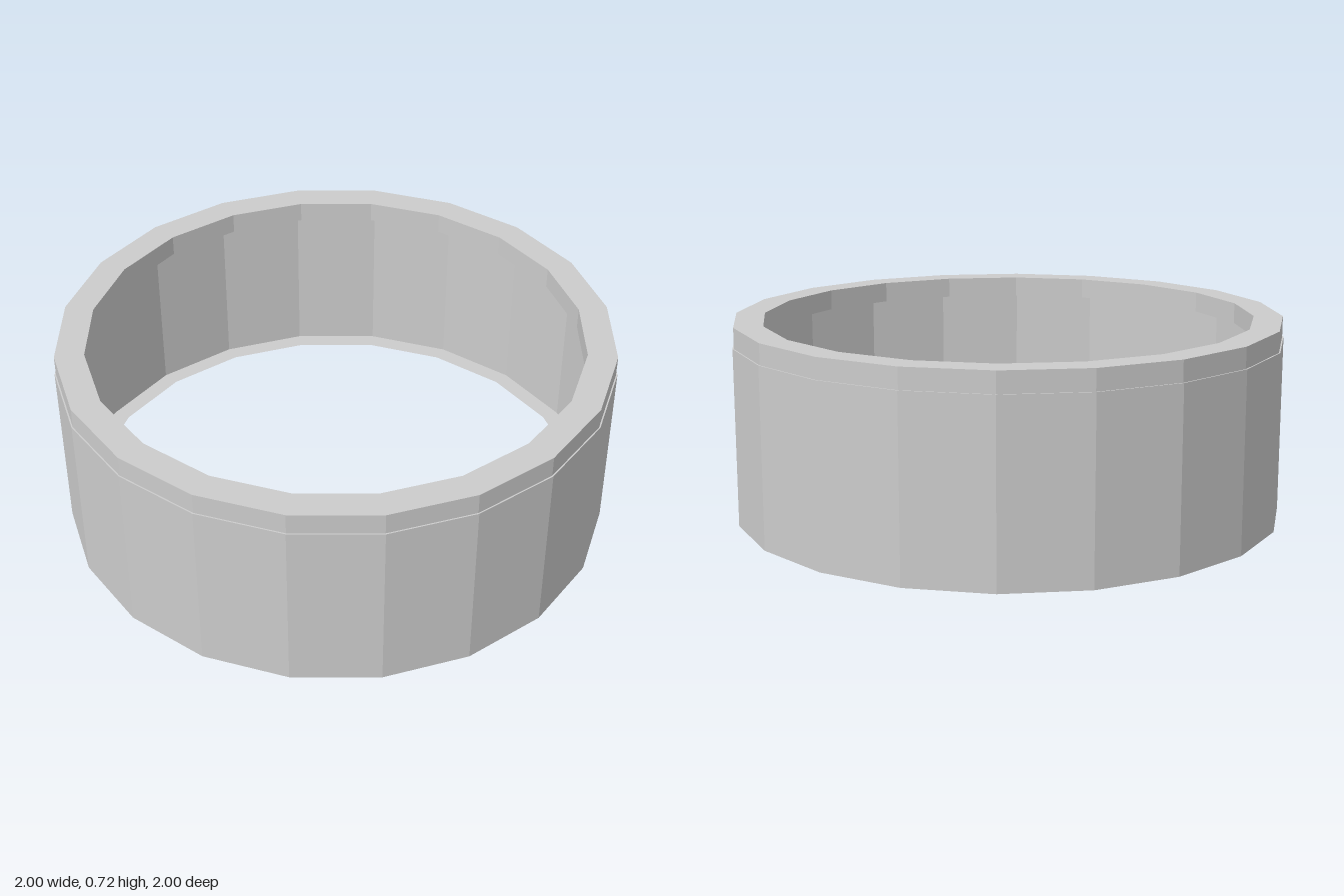
import * as THREE from 'three';

const SIDES = 20;

// Revolves a [radius, height] profile into a faceted ring
function ring(name, profile, material) {
  const points = profile.map(([r, y]) => new THREE.Vector2(r, y));
  const mesh = new THREE.Mesh(new THREE.LatheGeometry(points, SIDES), material);
  mesh.name = name;
  return mesh;
}

export function createModel() {
  const group = new THREE.Group();
  group.name = 'ring';
  const solid = new THREE.MeshStandardMaterial({ color: 0xcccccc, flatShading: true });
  const sheet = new THREE.MeshStandardMaterial({ color: 0xcccccc, flatShading: true, side: THREE.DoubleSide });

  // Thin outer wall with a flat inward flange at its foot and a small step at its top
  group.add(ring('wall', [[0.935, 0], [1, 0], [1, 0.645], [0.995, 0.645]], sheet));

  // Thick rim: underside, outer face, top and inner face
  group.add(ring('rim', [[0.89, 0.645], [0.995, 0.645], [0.995, 0.72], [0.89, 0.72], [0.89, 0.645]], solid));

  return group;
}
